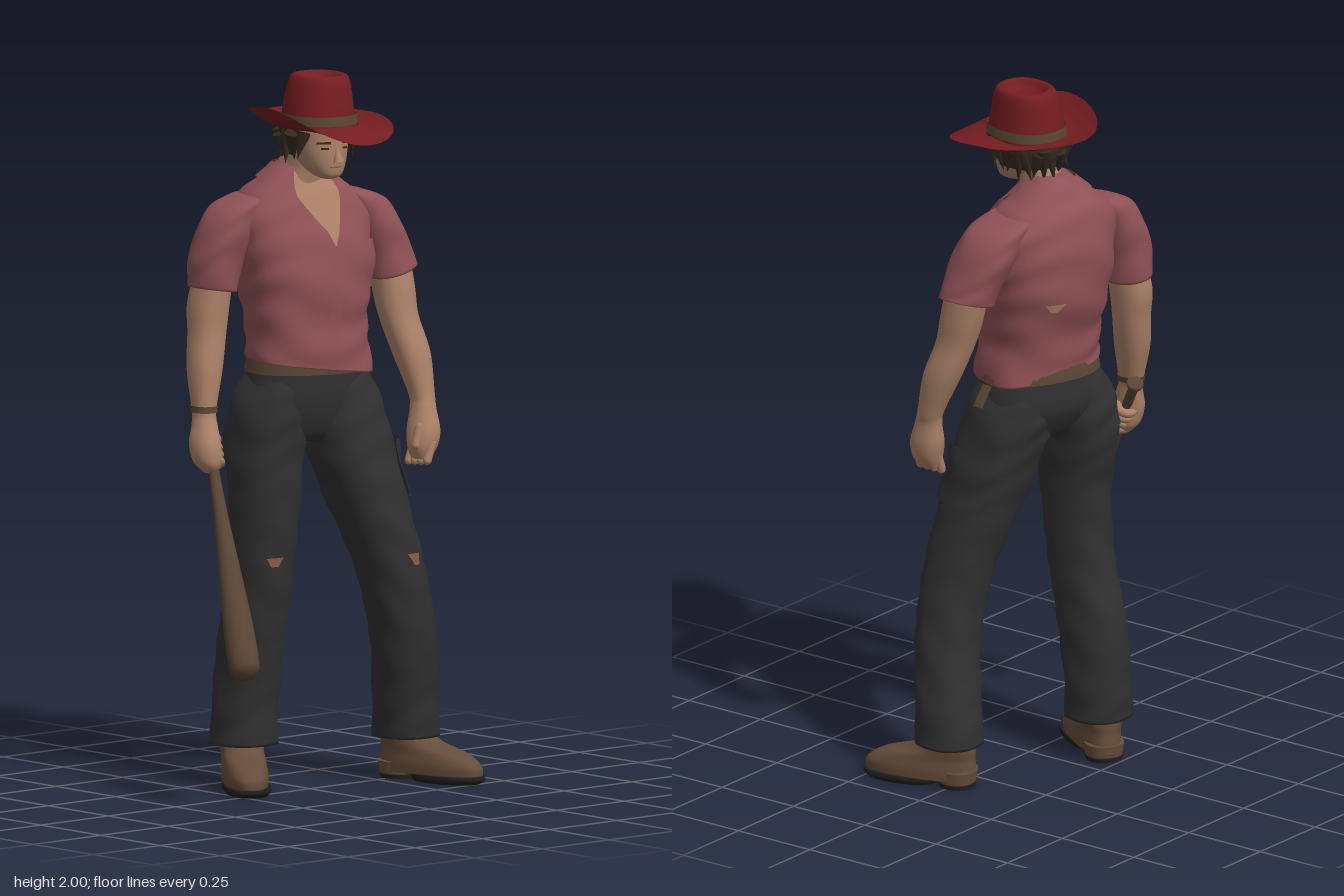
import * as THREE from 'three';

const paint = (name, color, side = THREE.FrontSide) => {
  const m = new THREE.MeshStandardMaterial({ color, side });
  m.name = name;
  return m;
};
const rad = THREE.MathUtils.degToRad;

// Catmull-Rom blend of cross-sections [x, y, z, rx, rz, tilt]
function sectionAt(rings, t) {
  const n = rings.length - 1, i = Math.min(Math.floor(t), n - 1), f = t - i;
  const get = (k, c) => rings[Math.max(0, Math.min(n, k))][c] ?? 0;
  return [0, 1, 2, 3, 4, 5].map(c => {
    const [a, b, d, e] = [get(i - 1, c), get(i, c), get(i + 1, c), get(i + 2, c)];
    return b + 0.5 * f * (d - a + f * (2 * a - 5 * b + 4 * d - e + f * (3 * (b - d) + e - a)));
  });
}

// Surface through horizontal sections, top to bottom; fold adds creases, a low power squares the section
function surface(rings, yaw = 0, fold = 0, power = 0.87) {
  const cy = Math.cos(rad(yaw)), sy = Math.sin(rad(yaw));
  const at = (t, a, off = 0) => {
    const [x, y, z, rx, rz, tilt] = sectionAt(rings, t);
    const c = Math.cos(a), s = Math.sin(a);
    const k = 1 + fold * Math.sin(y * 55 + 2.5 * Math.sin(2 * a + y * 9));
    const u = Math.sign(c) * Math.abs(c) ** power * (rx * k + off);
    const w = Math.sign(s) * Math.abs(s) ** power * (rz * k + off);
    return [x + u * cy + w * sy, y + tilt * u, z - u * sy + w * cy];
  };
  return { at, last: rings.length - 1 };
}

function meshFrom(name, pos, idx, mat) {
  const g = new THREE.BufferGeometry();
  g.setAttribute('position', new THREE.Float32BufferAttribute(pos, 3));
  g.setIndex(idx);
  g.computeVertexNormals();
  const m = new THREE.Mesh(g, mat);
  m.name = name;
  return m;
}

// Closed body along a surface
function loft(name, s, mat) {
  const rows = s.last * 7, cols = 40, pos = [], idx = [];
  for (let i = 0; i <= rows; i++)
    for (let j = 0; j < cols; j++) pos.push(...s.at((i / rows) * s.last, (j / cols) * Math.PI * 2));
  const mid = t => s.at(t, 0).map((v, k) => (v + s.at(t, Math.PI)[k]) / 2);
  const top = pos.length / 3, bottom = top + 1;
  pos.push(...mid(0), ...mid(s.last));
  for (let j = 0; j < cols; j++) {
    const k = (j + 1) % cols, e = rows * cols;
    for (let i = 0; i < rows; i++) {
      const a = i * cols + j, b = i * cols + k;
      idx.push(a, b, a + cols, b, b + cols, a + cols);
    }
    idx.push(top, k, j, bottom, e + j, e + k);
  }
  return meshFrom(name, pos, idx, mat);
}

// Thin panel lying on a surface, between angle ranges (degrees) at its top and bottom
function patch(name, s, mat, t0, t1, aTop, aBot, off = 0.005) {
  const rows = 12, cols = 36, pos = [], idx = [], mix = THREE.MathUtils.lerp;
  for (let i = 0; i <= rows; i++)
    for (let j = 0; j <= cols; j++) {
      const f = i / rows;
      const a = mix(mix(aTop[0], aBot[0], f), mix(aTop[1], aBot[1], f), j / cols);
      pos.push(...s.at(mix(t0, t1, f), rad(a), off));
      if (i < rows && j < cols) {
        const p = i * (cols + 1) + j, q = p + cols + 1;
        idx.push(p, p + 1, q, p + 1, q + 1, q);
      }
    }
  return meshFrom(name, pos, idx, mat);
}

export function createModel() {
  const root = new THREE.Group();
  root.name = 'standingManWithBat';
  const shirt = paint('faded red cloth', 0x8f5155, THREE.DoubleSide);
  const hatRed = paint('hat red', 0x751d20, THREE.DoubleSide);
  const denim = paint('dark denim', 0x303031, THREE.DoubleSide);
  const skin = paint('skin', 0xab8167);
  const tear = paint('worn tan', 0x875c4a);
  const hair = paint('dark brown hair', 0x33291f, THREE.DoubleSide);
  const boot = paint('boot leather', 0x654d3a);
  const wood = paint('bat wood', 0x584433);
  const strap = paint('strap leather', 0x584633, THREE.DoubleSide);
  const sole = paint('sole black', 0x1f1e1e);
  const place = (name, geo, mat, x, y, z) => {
    const m = new THREE.Mesh(geo, mat);
    m.name = name;
    m.position.set(x, y, z);
    root.add(m);
    return m;
  };

  // Shirt body with open collar, chest, pocket and a tear across the back
  const body = surface([[.058, 1.755, -.115, .05, .042], [.056, 1.725, -.117, .08, .066], [.054, 1.695, -.12, .115, .085],
    [.057, 1.66, -.122, .165, .105], [.06, 1.6, -.114, .195, .13], [.058, 1.5, -.098, .192, .153], [.055, 1.4, -.088, .18, .154],
    [.05, 1.3, -.075, .168, .139], [.05, 1.23, -.068, .17, .138], [.055, 1.18, -.066, .175, .138, -.13]], -16, .02, .78);
  root.add(loft('shirt', body, shirt),
    patch('openChest', body, skin, 0, 4.8, [38, 130], [84, 84], .004),
    patch('leftCollar', body, shirt, .6, 3.4, [5, 52], [50, 69], .011),
    patch('rightCollar', body, shirt, .6, 3.4, [116, 163], [99, 118], .011),
    patch('backCollar', body, shirt, .4, 1.7, [160, 368], [160, 368], .011),
    patch('buttonPlacket', body, shirt, 4.75, 8.9, [80, 88], [82, 91], .006),
    patch('chestPocket', body, shirt, 4.7, 6.0, [34, 66], [34, 66], .008),
    patch('backTear', body, skin, 5.85, 6.1, [276, 296], [284, 290], .003));

  // Sleeves
  const sleeves = {
    left: [[.18, 1.66, -.085, .05, .07], [.235, 1.628, -.072, .07, .088], [.275, 1.56, -.055, .073, .092],
      [.303, 1.48, -.035, .071, .083], [.317, 1.425, -.022, .071, .078, .28]],
    right: [[-.07, 1.66, -.16, .05, .06], [-.12, 1.628, -.17, .07, .078], [-.158, 1.56, -.18, .073, .082],
      [-.182, 1.48, -.19, .069, .077], [-.19, 1.4, -.195, .063, .073, -.15]],
  };
  // Arms with hands
  const arms = {
    left: [[.31, 1.5, -.03, .055, .06], [.313, 1.38, -.005, .056, .06], [.315, 1.3, .015, .053, .055],
      [.33, 1.2, .05, .051, .053], [.337, 1.09, .085, .035, .037], [.333, 1.05, .097, .033, .038],
      [.325, .99, .108, .042, .048], [.317, .945, .113, .04, .042], [.31, .91, .113, .022, .03]],
    right: [[-.185, 1.46, -.19, .05, .055], [-.2, 1.36, -.2, .054, .06], [-.21, 1.28, -.195, .051, .053],
      [-.229, 1.18, -.183, .046, .05], [-.247, 1.07, -.165, .031, .035], [-.254, 1.03, -.155, .032, .038],
      [-.264, .98, -.142, .038, .048], [-.263, .93, -.132, .036, .042], [-.258, .9, -.125, .016, .02]],
  };
  for (const side of ['left', 'right']) {
    root.add(loft(side + 'Sleeve', surface(sleeves[side], 0, .025), shirt));
    root.add(loft(side + 'Arm', surface(arms[side]), skin));
  }
  root.add(patch('wristBand', surface(arms.right), strap, 3.85, 4.08, [0, 360], [0, 360], .003));
  for (let i = 0; i < 4; i++) {
    const f = place('leftFinger', new THREE.CapsuleGeometry(.0125, .05, 4, 10), skin, .303 + i * .003, .925 + i * .002, .082 + i * .022);
    f.rotation.z = -.35;
  }
  place('leftThumb', new THREE.CapsuleGeometry(.014, .05, 4, 10), skin, .29, .975, .125).rotation.z = -.3;

  // Bat held by the right hand, with gripping fingers
  const bat = new THREE.Group();
  bat.name = 'bat';
  const profile = [[0, 0], [.022, .003], [.025, .01], [.022, .018], [.014, .03], [.0145, .2], [.02, .35],
    [.033, .54], [.042, .68], [.044, .76], [.042, .815], [.03, .836], [0, .842]].map(p => new THREE.Vector2(...p));
  const stick = new THREE.Mesh(new THREE.LatheGeometry(profile, 28), wood);
  stick.name = 'batWood';
  bat.add(stick);
  for (let i = 0; i < 4; i++) {
    const finger = new THREE.Mesh(new THREE.TorusGeometry(.023, .0125, 8, 18), skin);
    finger.name = 'grippingFinger';
    finger.rotation.x = Math.PI / 2;
    finger.position.y = .115 + i * .023;
    bat.add(finger);
  }
  bat.position.set(-.209, 1.08, -.211);
  bat.quaternion.setFromUnitVectors(new THREE.Vector3(0, 1, 0), new THREE.Vector3(-.205, -.705, .41).normalize());
  root.add(bat);

  // Trousers: hips and belt, flowing into the legs
  const hips = surface([[.055, 1.21, -.072, .163, .122], [.055, 1.16, -.075, .172, .127], [.053, 1.08, -.078, .186, .127],
    [.05, 1.01, -.07, .15, .1], [.045, .975, -.065, .1, .07]], -18);
  root.add(loft('hips', hips, denim),
    patch('belt', hips, strap, .2, .9, [0, 360], [0, 360], .007),
    patch('buckle', hips, wood, .25, .85, [78, 92], [78, 92], .012));
  const legs = {
    left: [[.125, 1.17, -.05, .08, .1], [.142, 1.08, -.04, .108, .122], [.157, .95, -.015, .119, .123], [.19, .8, .02, .107, .115],
      [.245, .6, .06, .093, .096], [.29, .4, .063, .09, .088], [.323, .22, .035, .089, .09], [.333, .12, .025, .086, .093]],
    right: [[-.02, 1.17, -.1, .08, .1], [-.045, 1.08, -.108, .108, .12], [-.068, .95, -.115, .1, .117], [-.08, .8, -.1, .09, .1],
      [-.088, .6, -.11, .084, .093], [-.09, .4, -.148, .081, .1], [-.096, .22, -.165, .086, .092], [-.1, .12, -.165, .089, .092]],
  };
  const legSurface = { left: surface(legs.left, 0, .022), right: surface(legs.right, 0, .022) };
  for (const side of ['left', 'right'])
    root.add(loft(side + 'Leg', legSurface[side], denim),
      patch(side + 'BackPocket', legSurface[side], denim, .75, 1.7, [245, 297], [250, 292], .007));
  root.add(patch('cargoPocket', legSurface.left, denim, 1.9, 2.95, [-38, 55], [-38, 55], .009),
    patch('cargoFlap', legSurface.left, denim, 1.85, 2.15, [-41, 58], [-41, 58], .014),
    patch('beltEnd', legSurface.left, strap, .25, .85, [2, 16], [2, 14], .016),
    patch('leftKneeTear', legSurface.left, tear, 3.74, 3.9, [72, 92], [76, 86]),
    patch('rightKneeTear', legSurface.right, tear, 3.72, 3.84, [92, 125], [100, 115]));

  // Boots
  for (const [side, x, z, yaw] of [['left', .338, .018, 14], ['right', -.103, -.172, -35]]) {
    const b = new THREE.Group();
    b.name = side + 'Boot';
    b.add(loft('bootUpper', surface([[0, .2, 0, .06, .065], [0, .14, 0, .062, .07], [0, .105, .022, .06, .095],
        [0, .08, .065, .06, .138], [0, .05, .086, .063, .162], [0, .022, .088, .061, .164]]), boot),
      loft('bootSole', surface([[0, .022, .145, .064, .111], [0, .011, .145, .065, .112], [0, 0, .14, .058, .102]]), sole),
      loft('bootHeel', surface([[0, .05, -.025, .055, .053], [0, .012, -.022, .051, .05]]), boot),
      loft('heelCap', surface([[0, .012, -.022, .051, .05], [0, 0, -.022, .05, .049]]), sole));
    b.position.set(x, 0, z);
    b.rotation.y = rad(yaw);
    root.add(b);
  }

  // Head, neck and face
  root.add(loft('neck', surface([[.058, 1.8, -.06, .055, .06], [.055, 1.73, -.085, .056, .062], [.05, 1.66, -.11, .075, .07]]), skin));
  const head = surface([[.06, 1.91, -.04, .06, .07], [.06, 1.86, -.04, .076, .097], [.06, 1.82, -.04, .077, .1],
    [.058, 1.78, -.03, .07, .091], [.055, 1.745, -.008, .055, .067], [.053, 1.722, .01, .037, .044], [.051, 1.712, .016, .018, .022]], -10);
  root.add(loft('head', head, skin),
    patch('mouth', head, tear, 3.85, 3.98, [74, 106], [78, 102], .003),
    patch('leftEye', head, hair, 2.4, 2.55, [60, 76], [60, 76], .003),
    patch('rightEye', head, hair, 2.4, 2.55, [104, 120], [104, 120], .003),
    patch('leftBrow', head, hair, 2.0, 2.16, [54, 80], [50, 80], .005),
    patch('rightBrow', head, hair, 2.0, 2.16, [100, 126], [100, 130], .005));
  place('nose', new THREE.ConeGeometry(.016, .05, 10), skin, .046, 1.787, .064).rotation.x = -.2;

  // Hair with loose locks around the nape
  root.add(patch('hairBack', head, hair, 0, 3.1, [150, 390], [175, 365], .015));
  for (let i = 0; i < 15; i++) {
    const a = 158 + i * 16, p = head.at(2.3 + .5 * Math.sin(rad((i / 14) * 180)), rad(a), .012);
    const lock = place('hairLock', new THREE.ConeGeometry(.024, .075 + .015 * (i % 3), 7), hair, ...p);
    lock.rotation.set(Math.PI + .3 * Math.sin(i * 2), 0, .3 * Math.cos(i * 3));
  }

  // Hat crown, band and curled brim
  const crown = surface([[.063, 1.968, -.03, .015, .03], [.067, 1.977, -.035, .038, .05], [.072, 1.996, -.04, .061, .07],
    [.072, 1.982, -.042, .076, .09], [.067, 1.92, -.041, .088, .103], [.066, 1.85, -.04, .097, .112]], -8);
  root.add(loft('hatCrown', crown, hatRed),
    patch('hatBand', crown, strap, 4.4, 4.75, [0, 360], [0, 360], .005));
  const brim = new THREE.RingGeometry(.4, 1, 72, 10), p = brim.attributes.position;
  for (let i = 0; i < p.count; i++) {
    const x = p.getX(i), z = -p.getY(i), r = Math.hypot(x, z), c = x / r, s = z / r, f = (r - .4) / .6;
    const rise = c * c * (.032 - .025 * c) + (s > 0 ? -.042 * s ** 1.4 : .015 * s * s);
    p.setXYZ(i, .067 + x * .195, 1.863 + f * f * rise - .065 * f * (1 - f) * (.2 + .8 * c * c), -.03 + z * .211);
  }
  brim.computeVertexNormals();
  place('hatBrim', brim, hatRed, 0, 0, 0);
  return root;
}
